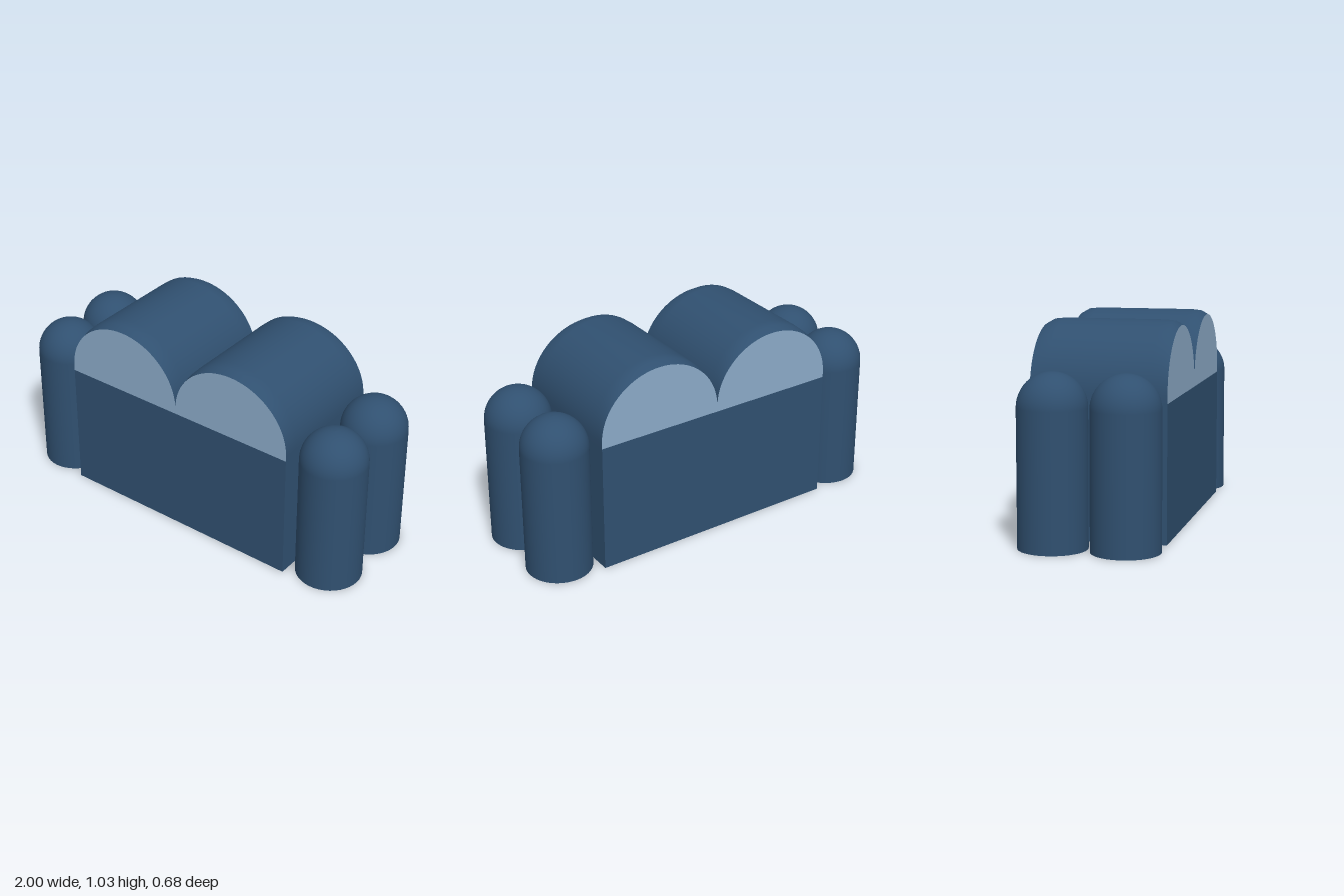
import * as THREE from 'three';

const HALF_W = 0.665, HALF_D = 0.333, BASE_H = 0.67, SPRING = 0.7;
const R = HALF_W / 2;

// Arch outline from left foot over the top to right foot
function archPoints(ry, segments = 40) {
  const pts = [new THREE.Vector2(-R, BASE_H)];
  for (let i = 0; i <= segments; i++) {
    const a = Math.PI * (1 - i / segments);
    pts.push(new THREE.Vector2(R * Math.cos(a), SPRING + ry * Math.sin(a)));
  }
  pts.push(new THREE.Vector2(R, BASE_H));
  return pts;
}

// Barrel roof lofted through arches that sink slightly at both ends
function vaultGeometry() {
  const stations = [[-HALF_D, 0.31], [-0.298, 0.33], [-0.25, 0.335], [0.25, 0.335], [0.298, 0.33], [HALF_D, 0.31]];
  const positions = [], index = [];
  let n = 0;
  for (const [z, ry] of stations) {
    const pts = archPoints(ry);
    n = pts.length;
    for (const p of pts) positions.push(p.x, p.y, z);
  }
  for (let s = 0; s < stations.length - 1; s++) {
    for (let i = 0; i < n - 1; i++) {
      const a = s * n + i, b = a + 1, c = a + n, d = c + 1;
      index.push(a, c, b, b, c, d);
    }
  }
  const g = new THREE.BufferGeometry();
  g.setAttribute('position', new THREE.Float32BufferAttribute(positions, 3));
  g.setIndex(index);
  g.computeVertexNormals();
  return g;
}

// Upright post with a domed top and flat foot
function postGeometry() {
  const r = 0.167, shoulder = 0.663;
  const pts = [new THREE.Vector2(0, 0), new THREE.Vector2(r, 0), new THREE.Vector2(r, 0), new THREE.Vector2(r, shoulder)];
  for (let i = 1; i <= 14; i++) {
    const a = (i / 14) * Math.PI / 2;
    pts.push(new THREE.Vector2(i === 14 ? 0 : r * Math.cos(a), shoulder + r * Math.sin(a)));
  }
  return new THREE.LatheGeometry(pts, 40);
}

export function createModel() {
  const model = new THREE.Group();
  const navy = new THREE.MeshStandardMaterial({ color: 0x305070 });
  navy.name = 'navyBlue';
  navy.side = THREE.DoubleSide;
  const pale = new THREE.MeshStandardMaterial({ color: 0x8cabc8 });
  pale.name = 'paleBlue';

  const add = (name, geometry, material, x, y, z) => {
    const mesh = new THREE.Mesh(geometry, material);
    mesh.name = name;
    mesh.position.set(x, y, z);
    model.add(mesh);
    return mesh;
  };

  // Block body
  add('body', new THREE.BoxGeometry(2 * HALF_W, BASE_H, 2 * HALF_D), navy, 0, BASE_H / 2, 0);

  // Twin barrel roofs with pale end panels
  const vault = vaultGeometry();
  const panel = new THREE.ShapeGeometry(new THREE.Shape(archPoints(0.31)));
  for (const side of [-1, 1]) {
    const label = side > 0 ? 'left' : 'right';
    add(label + 'BarrelRoof', vault, navy, side * R, 0, 0);
    add(label + 'FrontPanel', panel, pale, side * R, 0, HALF_D);
    add(label + 'BackPanel', panel, pale, side * R, 0, -HALF_D).rotation.y = Math.PI;
  }

  // Pairs of domed posts on both sides
  const post = postGeometry();
  for (const side of [-1, 1]) {
    for (const end of [-1, 1]) {
      const name = (side > 0 ? 'left' : 'right') + (end > 0 ? 'Front' : 'Back') + 'Post';
      add(name, post, navy, side * 0.833, 0, end * 0.175);
    }
  }
  return model;
}
